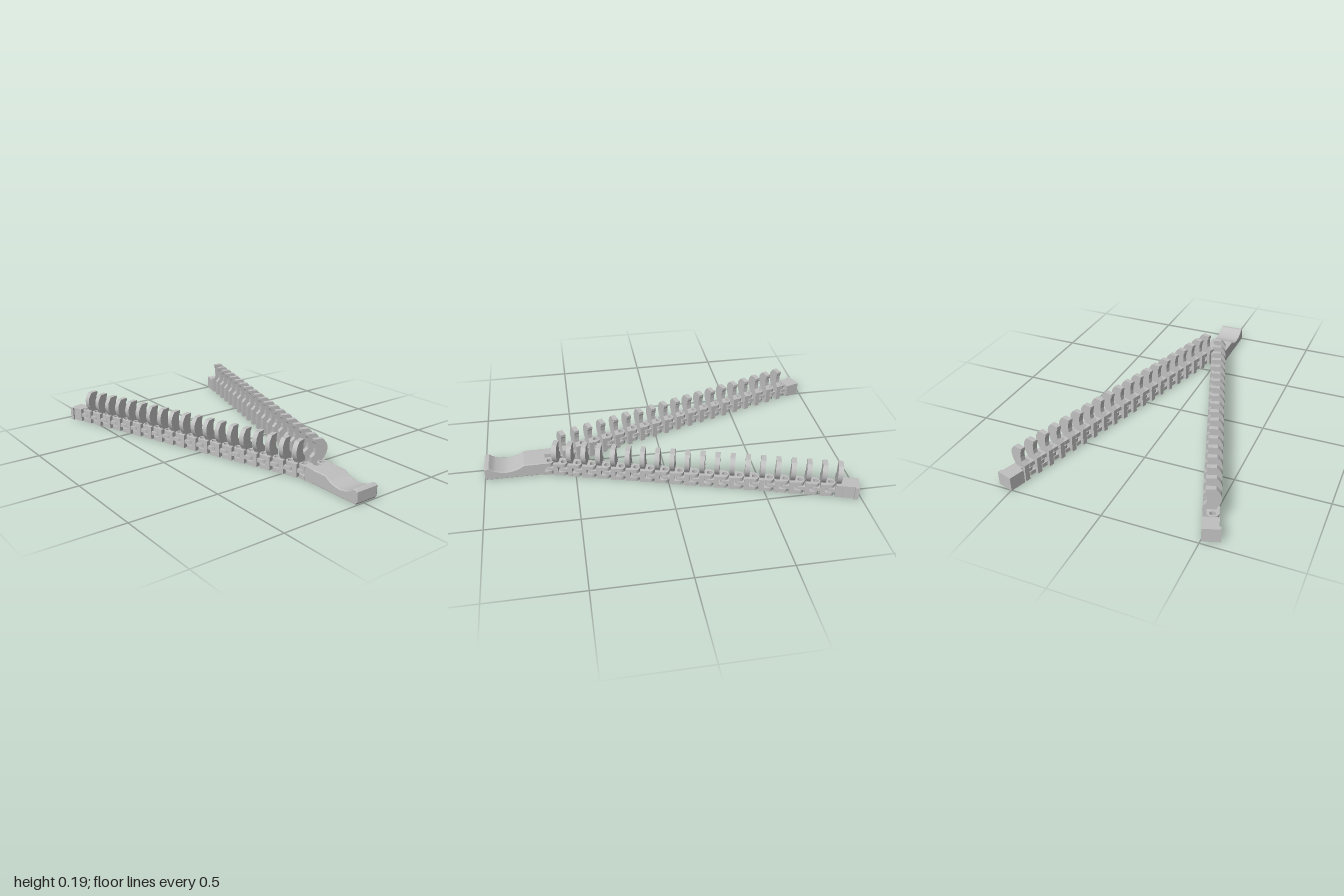
import * as THREE from 'three';

const grey = new THREE.MeshStandardMaterial({ color: 0xc0c0c0 });
grey.name = 'plain grey';

const PITCH = 0.0815;   // distance between hinge pins
const HALF = 0.03;      // half width of the hinge knuckles
const H = 0.076;        // height of the chain

function add(parent, geometry, name) {
  const mesh = new THREE.Mesh(geometry, grey);
  mesh.name = name;
  parent.add(mesh);
  return mesh;
}

function box(parent, name, x0, x1, y0, y1, z0, z1) {
  const g = new THREE.BoxGeometry(Math.abs(x1 - x0), y1 - y0, z1 - z0);
  g.translate((x0 + x1) / 2, (y0 + y1) / 2, (z0 + z1) / 2);
  return add(parent, g, name);
}

// Flat knuckle with a pin hole at distance pin, rooted at distance root along the arm
function knuckle(parent, name, pin, root, y0, y1) {
  const s = new THREE.Shape();
  s.moveTo(-HALF, root);
  s.lineTo(-HALF, pin);
  s.absellipse(0, pin, HALF, 0.023, Math.PI, 0, root < pin);
  s.lineTo(HALF, root);
  s.closePath();
  const hole = new THREE.Path();
  hole.absarc(0, pin, 0.015, 0, Math.PI * 2, false);
  s.holes.push(hole);
  const g = new THREE.ExtrudeGeometry(s, { depth: y1 - y0, bevelEnabled: false, curveSegments: 10 });
  g.rotateX(-Math.PI / 2);
  g.translate(0, y0, 0);
  add(parent, g, name);
}

function fork(parent, pin, root) {
  knuckle(parent, 'forkLower', pin, root, 0, 0.023);
  knuckle(parent, 'forkUpper', pin, root, 0.053, H);
}

const tongue = (parent, pin, root) => knuckle(parent, 'tongue', pin, root, 0.028, 0.048);

// Crescent claw, hollow towards the other arm
function toothGeometry(inner) {
  const s = new THREE.Shape();
  const p = (x, y) => new THREE.Vector2(x * inner, y);
  s.moveTo(-0.014 * inner, 0.07);
  s.splineThru([p(-0.018, 0.083), p(-0.033, 0.108), p(-0.04, 0.135), p(-0.035, 0.164), p(-0.013, 0.193)]);
  for (const [x, y] of [[0.037, 0.193], [0.037, 0.178], [0.03, 0.168], [0.028, 0.14], [0.03, 0.115], [0.05, 0.094], [0.05, 0.07]]) {
    s.lineTo(x * inner, y);
  }
  s.closePath();
  const g = new THREE.ExtrudeGeometry(s, { depth: 0.027, bevelEnabled: false, curveSegments: 12 });
  g.translate(0, 0, -0.012);
  return g;
}

// Chain of links running along local -z from its first pin
function makeArm(name, inner, x, z, yaw, capStart, capEnd, lastTooth) {
  const arm = new THREE.Group();
  arm.name = name;
  arm.position.set(x, 0, z);
  arm.rotation.y = yaw;
  const tooth = toothGeometry(inner);
  const count = 19;
  const addBlock = (parent, s) => {
    box(parent, 'linkBlock', -0.033 * inner, 0.049 * inner, 0, H, -s - 0.013, -s + 0.014);
    add(parent, tooth, 'tooth').position.z = -s;
  };

  for (let i = 0; i < count; i++) {
    const link = new THREE.Group();
    link.name = 'link';
    const s = (i + 0.5) * PITCH;
    addBlock(link, s);
    tongue(link, i * PITCH, s);
    fork(link, (i + 1) * PITCH, s);
    arm.add(link);
  }

  // End cap with a small outward catch
  const end = count * PITCH;
  const cap = new THREE.Group();
  cap.name = 'endCap';
  tongue(cap, end, end + capStart + 0.01);
  if (lastTooth) {
    addBlock(cap, end + PITCH / 2);
    box(cap, 'capNeck', -0.03, 0.03, 0, H, -end - capStart - 0.005, -end - PITCH / 2);
  }
  box(cap, 'capBlock', -0.033 * inner, 0.049 * inner, 0, H, -end - capEnd, -end - capStart);
  box(cap, 'catch', -0.042 * inner, -0.03 * inner, 0, H, -end - capEnd, -end - capEnd + 0.022);
  arm.add(cap);
  return arm;
}

// Pull handle with a scooped thumb rest and two hinge prongs
function makeHandle() {
  const handle = new THREE.Group();
  handle.name = 'handle';
  const s = new THREE.Shape();
  s.moveTo(0.67, 0.004);
  s.lineTo(0.99, 0.004);
  s.lineTo(0.996, 0.012);
  s.lineTo(0.996, 0.066);
  s.lineTo(0.988, 0.073);
  s.lineTo(0.975, 0.073);
  s.splineThru([[0.94, 0.05], [0.88, 0.038], [0.82, 0.05], [0.78, 0.073]].map(([x, y]) => new THREE.Vector2(x, y)));
  s.lineTo(0.67, 0.073);
  s.closePath();
  const g = new THREE.ExtrudeGeometry(s, {
    depth: 0.126, bevelEnabled: true, bevelThickness: 0.007, bevelSize: 0.004, bevelSegments: 3, curveSegments: 10,
  });
  g.rotateY(-Math.PI / 2);
  g.translate(0.085, 0, 0);
  add(handle, g, 'thumbRest');

  box(handle, 'prong', -0.048, 0.004, 0, H, 0.63, 0.69);
  box(handle, 'prong', 0.04, 0.092, 0, H, 0.667, 0.69);
  for (const [x, z] of [[-0.022, 0.6], [0.066, 0.64]]) {
    const hinge = new THREE.Group();
    hinge.name = 'hinge';
    hinge.position.set(x, 0, z);
    fork(hinge, 0, -0.035);
    handle.add(hinge);
  }
  return handle;
}

export function createModel() {
  const model = new THREE.Group();
  model.name = 'linkedClawFastener';
  model.add(makeHandle());
  model.add(makeArm('rightArm', 1, -0.022, 0.6, 0.325, 0.025, 0.108, false));
  model.add(makeArm('leftArm', -1, 0.066, 0.64, -0.285, 0.062, 0.15, true));
  return model;
}
